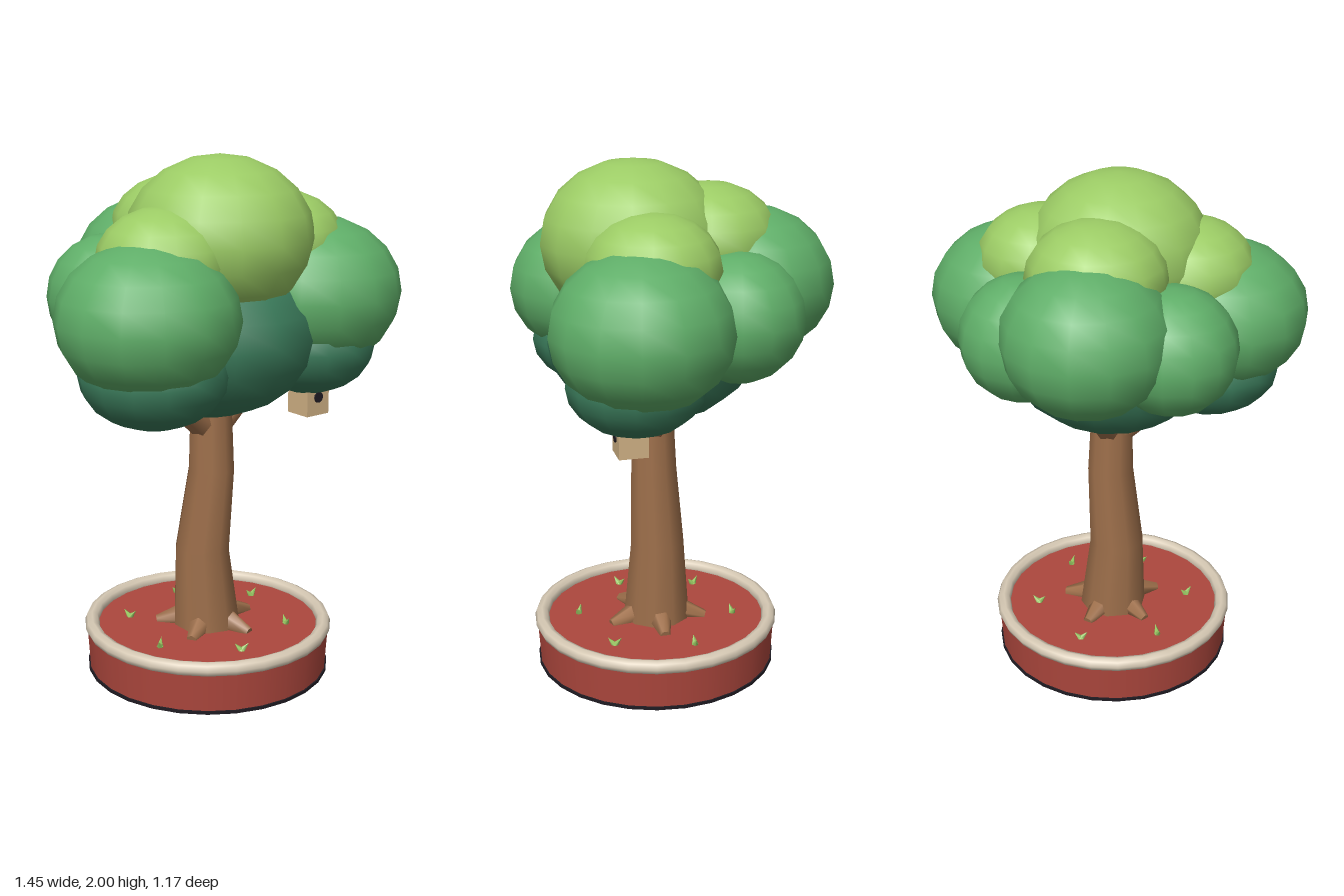
import * as THREE from 'three';

const mat = (name, color, side = THREE.FrontSide) => {
  const m = new THREE.MeshStandardMaterial({ color, side });
  m.name = name;
  return m;
};

export function createModel() {
  const model = new THREE.Group();
  model.name = 'pottedTree';
  const lime = mat('limeLeaf', 0x9ccc65);
  const green = mat('midLeaf', 0x5fae68);
  const deep = mat('deepLeaf', 0x3a7a5a);
  const bark = mat('bark', 0xa0714c);
  const clay = mat('redClay', 0xad473d);
  const cream = mat('creamRim', 0xd6c9b4);
  const wood = mat('paleWood', 0xd0b184);
  const dark = mat('darkBase', 0x1f1b22);

  const add = (name, geometry, material, x = 0, y = 0, z = 0, parent = model) => {
    const mesh = new THREE.Mesh(geometry, material);
    mesh.name = name;
    mesh.position.set(x, y, z);
    parent.add(mesh);
    return mesh;
  };

  // Tapered limb between two points
  const limb = (name, a, b, r0, r1, sides, parent) => {
    const from = new THREE.Vector3(...a), to = new THREE.Vector3(...b);
    const dir = to.clone().sub(from);
    const mesh = add(name, new THREE.CylinderGeometry(r1, r0, dir.length(), sides), bark, 0, 0, 0, parent);
    mesh.position.copy(from).add(to).multiplyScalar(0.5);
    mesh.quaternion.setFromUnitVectors(new THREE.Vector3(0, 1, 0), dir.normalize());
    return mesh;
  };

  // Planter: dark foot, clay body with top surface, rounded rim
  const px = -0.008, pz = 0.097;
  const planter = new THREE.Group();
  planter.name = 'planter';
  planter.position.set(px, 0, pz);
  model.add(planter);
  add('foot', new THREE.CylinderGeometry(0.474, 0.474, 0.012, 28), dark, 0, 0.006, 0, planter);
  add('body', new THREE.CylinderGeometry(0.478, 0.468, 0.156, 28), clay, 0, 0.09, 0, planter);
  const rim = add('rim', new THREE.TorusGeometry(0.457, 0.028, 8, 28), cream, 0, 0.174, 0, planter);
  rim.rotation.x = Math.PI / 2;

  // Ring of little sprouts
  for (let i = 0; i < 6; i++) {
    const a = (i * 60 - 16) * Math.PI / 180;
    const sprout = new THREE.Group();
    sprout.name = 'sprout';
    sprout.position.set(0.31 * Math.cos(a), 0.166, 0.31 * Math.sin(a));
    sprout.rotation.y = i * 1.3;
    planter.add(sprout);
    for (const s of [-1, 1]) {
      const leaf = add('sproutLeaf', new THREE.ConeGeometry(0.014, 0.042, 5), lime, s * 0.013, 0.016, 0, sprout);
      leaf.rotation.z = -s * 0.7;
    }
  }

  // Roots spreading over the planter top
  for (let i = 0; i < 5; i++) {
    const a = i * Math.PI * 0.4 + 1.3;
    const c = Math.cos(a), s = Math.sin(a);
    limb('root', [px + 0.06 * c, 0.2, pz + 0.06 * s], [px + 0.2 * c, 0.168, pz + 0.2 * s], 0.055, 0.02, 6);
  }

  // Trunk: stacked rings [y, x, z, radius] with a gentle bend
  const rings = [
    [0.15, -0.008, 0.094, 0.135],
    [0.48, -0.025, 0.084, 0.107],
    [0.8, 0.004, 0.103, 0.09],
    [1.15, -0.003, 0.107, 0.078],
  ];
  const trunk = new THREE.CylinderGeometry(1, 1, 3, 10, 3, true);
  const p = trunk.attributes.position;
  for (let i = 0; i < p.count; i++) {
    const [y, x, z, r] = rings[Math.round(p.getY(i) + 1.5)];
    p.setXYZ(i, x + p.getX(i) * r, y, z + p.getZ(i) * r);
  }
  add('trunk', trunk, bark);

  // Branches into the crown
  for (const tip of [[-0.33, 1.23, 0.15], [0.27, 1.22, 0.14], [0.03, 1.2, -0.16]]) {
    limb('branch', [tip[0] * 0.05, 0.97, 0.105], tip, 0.062, 0.045, 7);
  }

  // Crown: overlapping puffs [x, y, z, horizontal radius, vertical radius]
  const crown = new THREE.Group();
  crown.name = 'crown';
  model.add(crown);
  const puff = new THREE.SphereGeometry(1, 14, 10).rotateY(Math.PI / 14);
  const layers = [
    ['lowerPuff', deep, [
      [0, 1.33, 0.1, 0.405, 0.31],
      [-0.36, 1.25, 0.23, 0.275, 0.197],
      [0.36, 1.27, 0.25, 0.255, 0.19],
    ]],
    ['middlePuff', green, [
      [0.4, 1.465, 0.235, 0.332, 0.29],
      [-0.4, 1.45, 0.25, 0.332, 0.28],
      [0.02, 1.53, -0.27, 0.318, 0.285],
      [-0.27, 1.46, -0.16, 0.243, 0.24],
      [0.275, 1.46, -0.15, 0.246, 0.24],
    ]],
    ['upperPuff', lime, [
      [-0.015, 1.7, 0.17, 0.348, 0.3],
      [-0.28, 1.635, 0.19, 0.25, 0.2],
      [0.275, 1.655, 0.165, 0.25, 0.2],
      [0.015, 1.7, -0.11, 0.263, 0.21],
    ]],
  ];
  for (const [name, material, puffs] of layers) {
    for (const [x, y, z, r, h] of puffs) {
      add(name, puff, material, x, y, z, crown).scale.set(r, h, r);
    }
  }

  // Birdhouse tucked under the crown
  const house = new THREE.Group();
  house.name = 'birdhouse';
  house.position.set(0.348, 1.055, 0.27);
  model.add(house);
  add('box', new THREE.BoxGeometry(0.11, 0.11, 0.11), wood, 0, 0, 0, house);
  const hole = add('entryHole', new THREE.CylinderGeometry(0.021, 0.021, 0.008, 12), dark, 0, 0.016, 0.056, house);
  hole.rotation.x = Math.PI / 2;

  return model;
}
